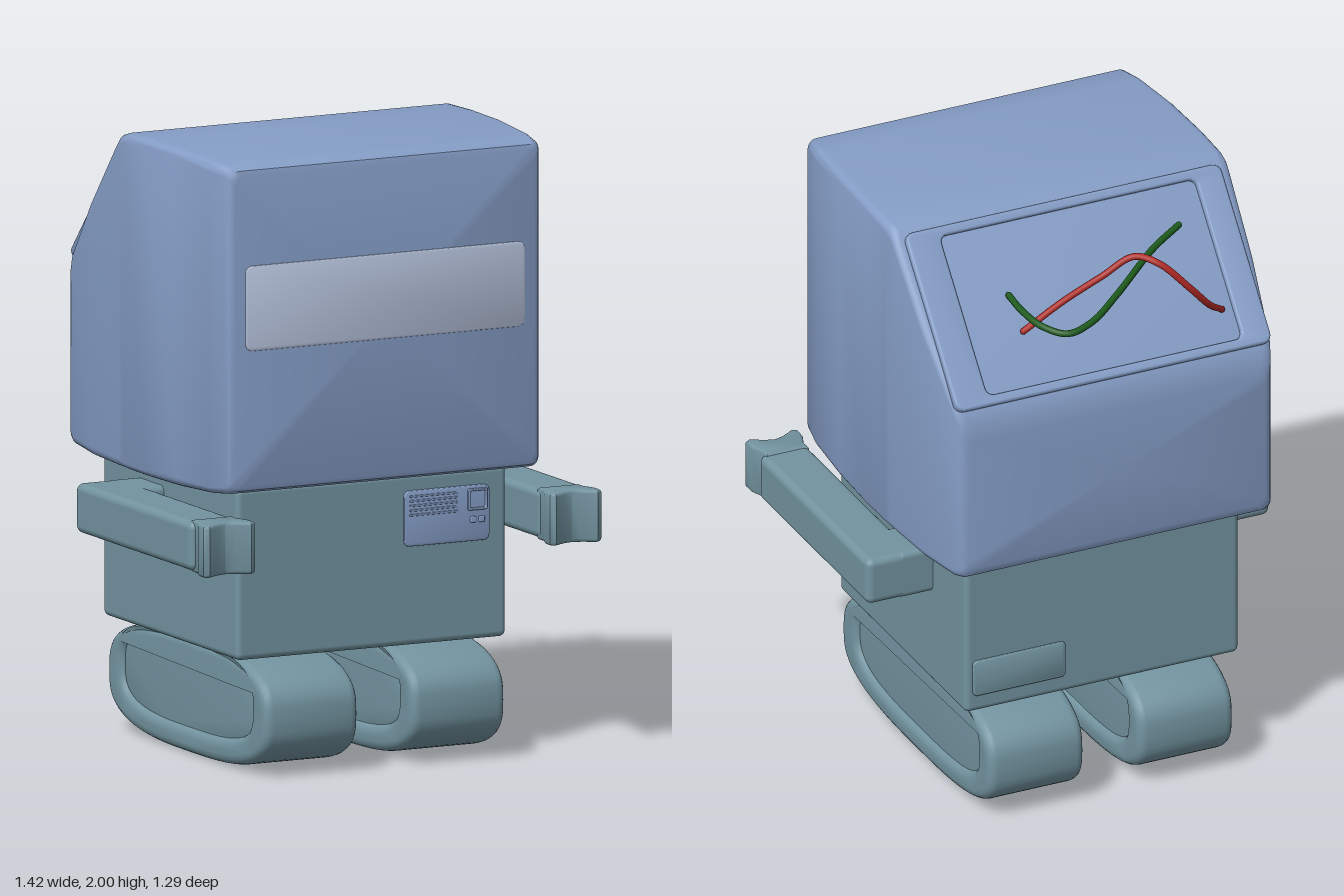
import * as THREE from 'three';
import { toCreasedNormals } from 'three/addons/utils/BufferGeometryUtils.js';
import { RoundedBoxGeometry } from 'three/addons/geometries/RoundedBoxGeometry.js';

const mat = (color) => new THREE.MeshStandardMaterial({ color });
const BLUE = mat(0x859dc6), TEAL = mat(0x72939f), GLASS = mat(0xb9c6e0);
const RED = mat(0xb02a25), GREEN = mat(0x1c5a1c);

function add(parent, name, geometry, material) {
  const mesh = new THREE.Mesh(geometry, material);
  mesh.name = name;
  parent.add(mesh);
  return mesh;
}

// Rounded box given by its limits on each axis
function box(parent, name, material, [x0, x1], [y0, y1], [z0, z1], r) {
  const mesh = add(parent, name, new RoundedBoxGeometry(x1 - x0, y1 - y0, z1 - z0, 3, r), material);
  mesh.position.set((x0 + x1) / 2, (y0 + y1) / 2, (z0 + z1) / 2);
  return mesh;
}

// Rounded rectangle outline, counter-clockwise
function roundRect(x0, x1, y0, y1, r, steps = 5) {
  const pts = [];
  [[x1 - r, y1 - r], [x0 + r, y1 - r], [x0 + r, y0 + r], [x1 - r, y0 + r]].forEach(([cx, cy], k) => {
    for (let i = 0; i <= steps; i++) {
      const a = (k + i / steps) * Math.PI / 2;
      pts.push(new THREE.Vector2(cx + r * Math.cos(a), cy + r * Math.sin(a)));
    }
  });
  return pts;
}

// Superellipse outline
function superellipse(cx, cy, rx, ry, n, count = 64) {
  return Array.from({ length: count }, (_, i) => {
    const a = i / count * Math.PI * 2, c = Math.cos(a), s = Math.sin(a);
    return new THREE.Vector2(cx + rx * Math.sign(c) * Math.abs(c) ** (2 / n),
      cy + ry * Math.sign(s) * Math.abs(s) ** (2 / n));
  });
}

// Extrusion of total thickness `depth`, centred, with a rounded edge
function slab(outline, depth, bevel, hole) {
  const shape = new THREE.Shape(outline);
  if (hole) shape.holes.push(new THREE.Path(hole));
  const g = new THREE.ExtrudeGeometry(shape, {
    depth: depth - 2 * bevel, bevelThickness: bevel, bevelSize: bevel, bevelOffset: -bevel, bevelSegments: 4,
  });
  g.translate(0, 0, bevel - depth / 2);
  return toCreasedNormals(g, 0.6);
}

// Skin over rounded-rectangle sections [z, halfWidth, bottom, top, radius], front to back
function loft(sections) {
  const pos = [], index = [];
  sections.forEach(([z, w, y0, y1, r]) => roundRect(-w, w, y0, y1, r).forEach((p) => pos.push(p.x, p.y, z)));
  const n = pos.length / 3 / sections.length, last = (sections.length - 1) * n;
  const front = pos.length / 3, back = front + 1;
  [sections[0], sections.at(-1)].forEach(([z, , y0, y1]) => pos.push(0, (y0 + y1) / 2, z));
  for (let j = 0; j < n; j++) {
    const k = (j + 1) % n;
    for (let i = 0; i < last; i += n) index.push(i + j, i + n + j, i + k, i + k, i + n + j, i + n + k);
    index.push(front, j, k, back, last + k, last + j);
  }
  const g = new THREE.BufferGeometry();
  g.setAttribute('position', new THREE.Float32BufferAttribute(pos, 3));
  g.setIndex(index);
  return toCreasedNormals(g, 0.7);
}

function wire(parent, name, material, points) {
  const curve = new THREE.CatmullRomCurve3(points.map((p) => new THREE.Vector3(...p)));
  add(parent, name, new THREE.TubeGeometry(curve, 64, 0.011, 8), material);
  for (const t of [0, 1]) {
    add(parent, name + 'End', new THREE.SphereGeometry(0.011, 8, 6), material).position.copy(curve.getPoint(t));
  }
}

function createHead() {
  const head = new THREE.Group();
  head.name = 'head';
  // Softly bulging shell with a sloping upper back
  add(head, 'headShell', loft([
    [0.51, 0.535, 0.955, 1.955, 0.03], [0.505, 0.55, 0.94, 1.973, 0.03], [0.485, 0.562, 0.93, 1.985, 0.03],
    [0.4, 0.577, 0.92, 1.992, 0.03], [0.2, 0.59, 0.912, 2, 0.03], [0, 0.595, 0.91, 2, 0.03],
    [-0.15, 0.593, 0.91, 1.996, 0.03], [-0.185, 0.592, 0.911, 1.986, 0.03], [-0.215, 0.591, 0.911, 1.955, 0.03],
    [-0.4, 0.582, 0.913, 1.745, 0.03], [-0.57, 0.56, 0.92, 1.55, 0.03], [-0.598, 0.55, 0.926, 1.51, 0.03],
    [-0.613, 0.54, 0.935, 1.465, 0.03], [-0.62, 0.52, 0.96, 1.42, 0.03],
  ]), BLUE);
  add(head, 'visor', slab(roundRect(-0.5, 0.5, 1.39, 1.665, 0.025), 0.03, 0.004), GLASS).position.z = 0.499;
  // Raised rim leaving a sunken panel on the slope
  const rim = add(head, 'rearPanelRim', slab(roundRect(-0.555, 0.555, -0.3, 0.3, 0.03), 0.04, 0.008,
    roundRect(-0.46, 0.44, -0.268, 0.268, 0.025).reverse()), BLUE);
  rim.position.set(0, 1.745, -0.396);
  rim.rotation.x = -2.426;
  wire(head, 'redWire', RED, [[-0.42, 1.63, -0.51], [-0.35, 1.69, -0.565], [-0.27, 1.78, -0.588],
    [-0.18, 1.87, -0.55], [-0.12, 1.88, -0.49], [-0.02, 1.82, -0.465], [0.12, 1.76, -0.465], [0.26, 1.69, -0.472]]);
  wire(head, 'greenWire', GREEN, [[-0.34, 1.88, -0.36], [-0.22, 1.85, -0.42], [-0.03, 1.79, -0.55],
    [0.09, 1.755, -0.62], [0.18, 1.74, -0.632], [0.24, 1.75, -0.57], [0.265, 1.765, -0.47], [0.27, 1.78, -0.385]]);
  return head;
}

function createBody() {
  const body = new THREE.Group();
  body.name = 'body';
  box(body, 'torso', TEAL, [-0.485, 0.48], [0.375, 0.93], [-0.505, 0.425], 0.02);
  add(body, 'rearHatch', slab(roundRect(0.13, 0.455, 0.435, 0.56, 0.015), 0.03, 0.006), TEAL).position.z = -0.5;
  // Control panel with grille, screen and two buttons
  add(body, 'controlPanel', slab(roundRect(0.11, 0.415, 0.695, 0.875, 0.02), 0.03, 0.004), BLUE).position.z = 0.418;
  for (let i = 0; i < 5; i++) {
    const y = 0.793 + i * 0.015;
    box(body, 'grilleBar', BLUE, [0.128, 0.3], [y, y + 0.007], [0.425, 0.436], 0.002);
  }
  add(body, 'screenFrame', slab(roundRect(0.335, 0.405, 0.795, 0.865, 0.006), 0.02, 0.003,
    roundRect(0.343, 0.397, 0.803, 0.857, 0.004).reverse()), BLUE).position.z = 0.431;
  for (const x of [0.345, 0.375]) box(body, 'button', BLUE, [x, x + 0.02], [0.755, 0.775], [0.42, 0.44], 0.004);
  return body;
}

// Arm for the +x side
function createArm() {
  const arm = new THREE.Group();
  box(arm, 'forearm', TEAL, [0.54, 0.71], [0.7, 0.86], [-0.265, 0.54], 0.025);
  box(arm, 'shoulder', TEAL, [0.45, 0.6], [0.7, 0.86], [-0.265, -0.08], 0.02);
  // Flared hand with a notched end, outlined from above
  const outline = [[-0.075, 0.51], [0.075, 0.51], [0.073, 0.545], [0.091, 0.59], [0.092, 0.63], [0.075, 0.641],
    [0.03, 0.615], [0, 0.606], [-0.03, 0.615], [-0.075, 0.641], [-0.092, 0.63], [-0.091, 0.59], [-0.073, 0.545]];
  const hand = add(arm, 'hand', slab(outline.map((p) => new THREE.Vector2(...p)), 0.17, 0.012), TEAL);
  hand.rotation.x = Math.PI / 2;
  hand.position.set(0.62, 0.78, 0);
  return arm;
}

// Track foot with a sunken panel on both sides
function createTrack() {
  const track = new THREE.Group();
  const hole = superellipse(-0.037, 0.215, 0.445, 0.13, 3.2);
  const parts = [
    ['trackBelt', slab(superellipse(-0.033, 0.188, 0.552, 0.188, 3), 0.335, 0.03, hole.slice().reverse())],
    ['trackPanel', slab(superellipse(-0.037, 0.215, 0.455, 0.14, 3.2), 0.3, 0.005)],
  ];
  for (const [name, geometry] of parts) add(track, name, geometry, TEAL).rotation.y = -Math.PI / 2;
  return track;
}

export function createModel() {
  const model = new THREE.Group();
  model.name = 'robot';
  model.add(createHead(), createBody());
  for (const side of [1, -1]) {
    const label = side > 0 ? 'left' : 'right';
    const arm = createArm();
    arm.name = label + 'Arm';
    arm.scale.x = side;
    const track = createTrack();
    track.name = label + 'Track';
    track.position.x = side * 0.263;
    model.add(arm, track);
  }
  return model;
}
